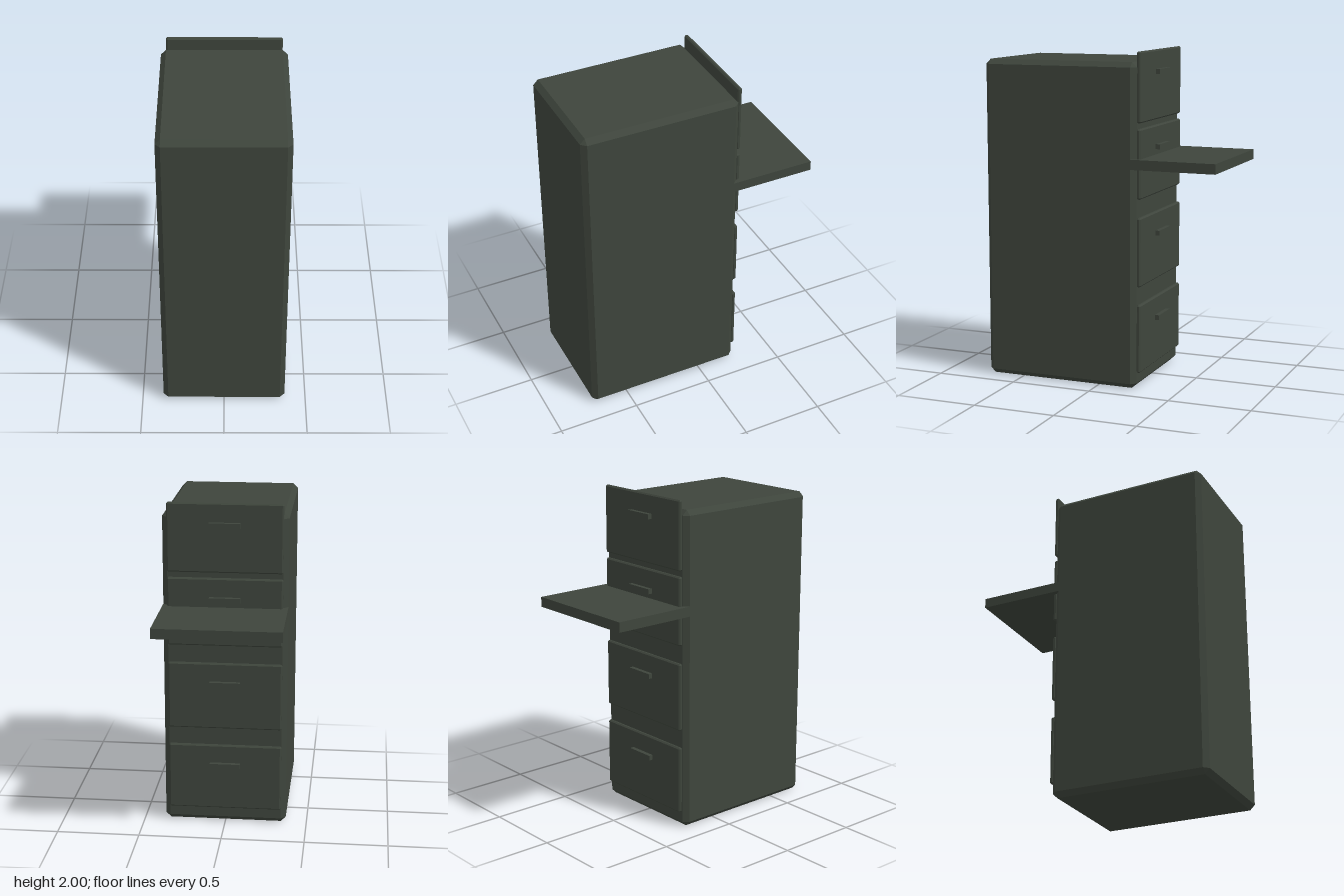
import * as THREE from 'three';
import { ConvexGeometry } from 'three/addons/geometries/ConvexGeometry.js';

// Box with every edge cut by a flat chamfer c
function chamferBox(w, h, d, c) {
  const half = [w / 2, h / 2, d / 2];
  const points = [];
  for (const sx of [-1, 1]) for (const sy of [-1, 1]) for (const sz of [-1, 1])
    for (let axis = 0; axis < 3; axis++) {
      const p = half.map((v, i) => (i === axis ? v : v - c));
      points.push(new THREE.Vector3(sx * p[0], sy * p[1], sz * p[2]));
    }
  return new ConvexGeometry(points);
}

export function createModel() {
  const cabinet = new THREE.Group();
  cabinet.name = 'filingCabinet';
  const paint = new THREE.MeshStandardMaterial({ color: 0x3e453c });
  paint.name = 'dark olive paint';

  const add = (name, geometry, x, y, z) => {
    const mesh = new THREE.Mesh(geometry, paint);
    mesh.name = name;
    mesh.position.set(x, y, z);
    cabinet.add(mesh);
  };

  // Chamfered housing
  add('body', chamferBox(0.744, 1.94, 0.97, 0.03), 0, 0.97, 0.245);

  // Four drawer fronts, each with a bar handle: [bottom, top, handle height]
  const drawers = [[0.095, 0.508, 0.38], [0.617, 1.03, 0.902], [1.14, 1.553, 1.425], [1.587, 2, 1.872]];
  drawers.forEach(([bottom, top, grip], i) => {
    add(`drawerFront${i + 1}`, chamferBox(0.684, top - bottom, 0.026, 0.008), 0, (bottom + top) / 2, -0.25);
    add(`drawerHandle${i + 1}`, new THREE.BoxGeometry(0.184, 0.03, 0.028), 0, grip, -0.275);
  });

  // Pull-out shelf crossing the second drawer from the top
  add('pullOutShelf', new THREE.BoxGeometry(0.744, 0.06, 0.53), 0, 1.348, -0.465);

  return cabinet;
}
